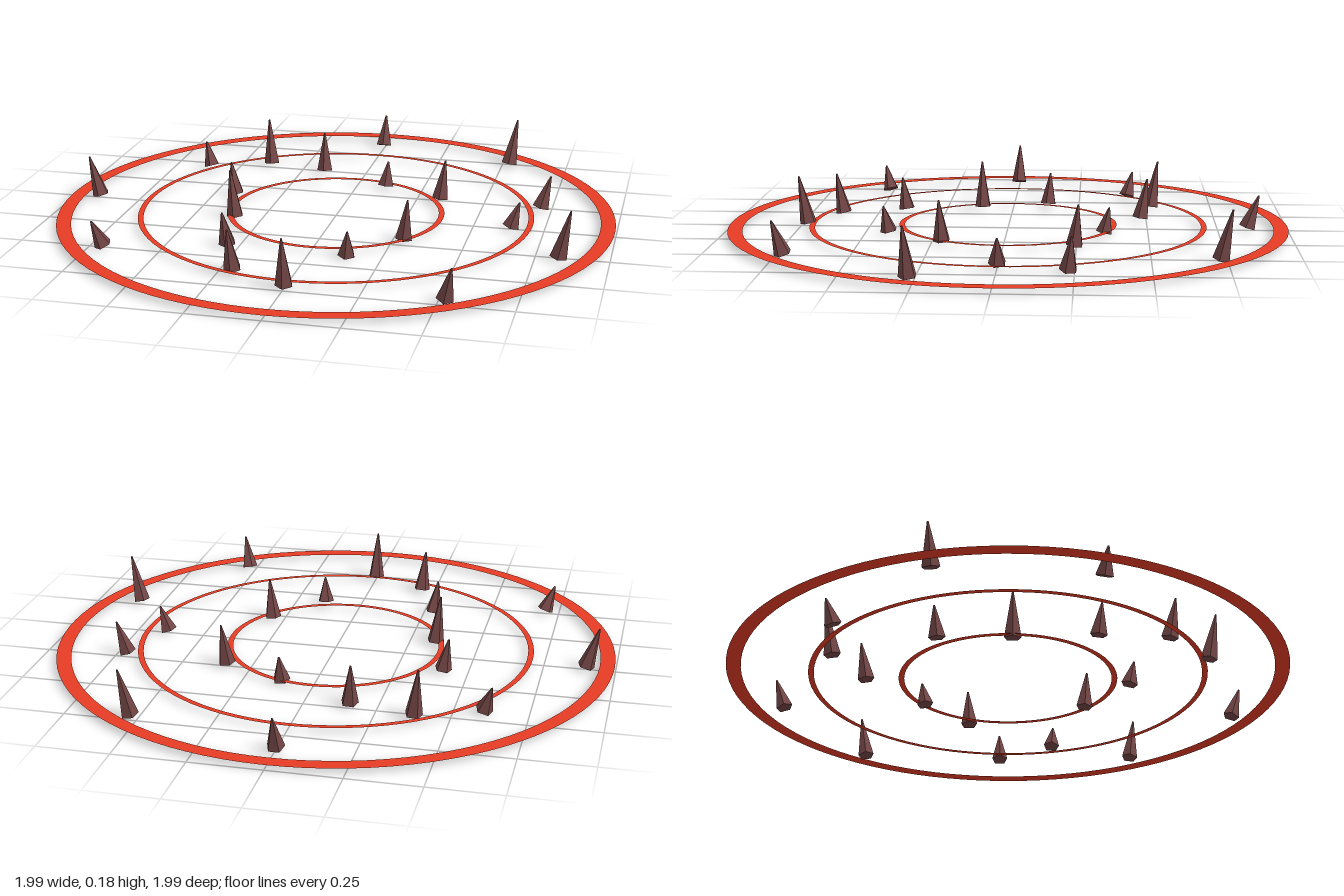
import * as THREE from 'three';

export function createModel() {
  const model = new THREE.Group();
  const ringMat = new THREE.MeshStandardMaterial({ color: 0xe63c24, side: THREE.DoubleSide });
  ringMat.name = 'ember red';
  const spikeMat = new THREE.MeshStandardMaterial({ color: 0x744646, flatShading: true });
  spikeMat.name = 'dark maroon';

  // Flat concentric rings just above the ground
  const rings = [['outerRing', 0.945, 0.997], ['middleRing', 0.69, 0.71], ['innerRing', 0.37, 0.39]];
  for (const [name, inner, outer] of rings) {
    const ring = new THREE.Mesh(new THREE.RingGeometry(inner, outer, 96).rotateX(-Math.PI / 2), ringMat);
    ring.name = name;
    ring.position.y = 0.018;
    model.add(ring);
  }

  // Five-sided spikes every 18 degrees, leaning outward in proportion to their radius
  const spikes = new THREE.Group();
  spikes.name = 'spikes';
  const radii = [0.633, 0.872, 0.36, 0.89, 0.435, 0.723, 0.655, 0.49, 0.863, 0.362,
    0.897, 0.435, 0.743, 0.647, 0.505, 0.856, 0.365, 0.9, 0.418, 0.748];
  const tipHeights = [0.102, 0.182, 0.156, 0.128];
  const up = new THREE.Vector3(0, 1, 0);
  radii.forEach((r, i) => {
    const a = (i * Math.PI) / 10;
    const out = new THREE.Vector3(Math.cos(a), 0, Math.sin(a));
    const base = out.clone().multiplyScalar(r).setY(0.013);
    const tip = out.clone().multiplyScalar(r * 1.045).setY(tipHeights[i % 4]);
    const axis = tip.sub(base);
    const h = axis.length();
    const geo = new THREE.CylinderGeometry(0.003, 0.031, h, 5).translate(0, h / 2, 0);
    const spike = new THREE.Mesh(geo, spikeMat);
    spike.name = `spike${i + 1}`;
    spike.position.copy(base);
    spike.quaternion.setFromUnitVectors(up, axis.normalize());
    spikes.add(spike);
  });
  model.add(spikes);
  return model;
}
